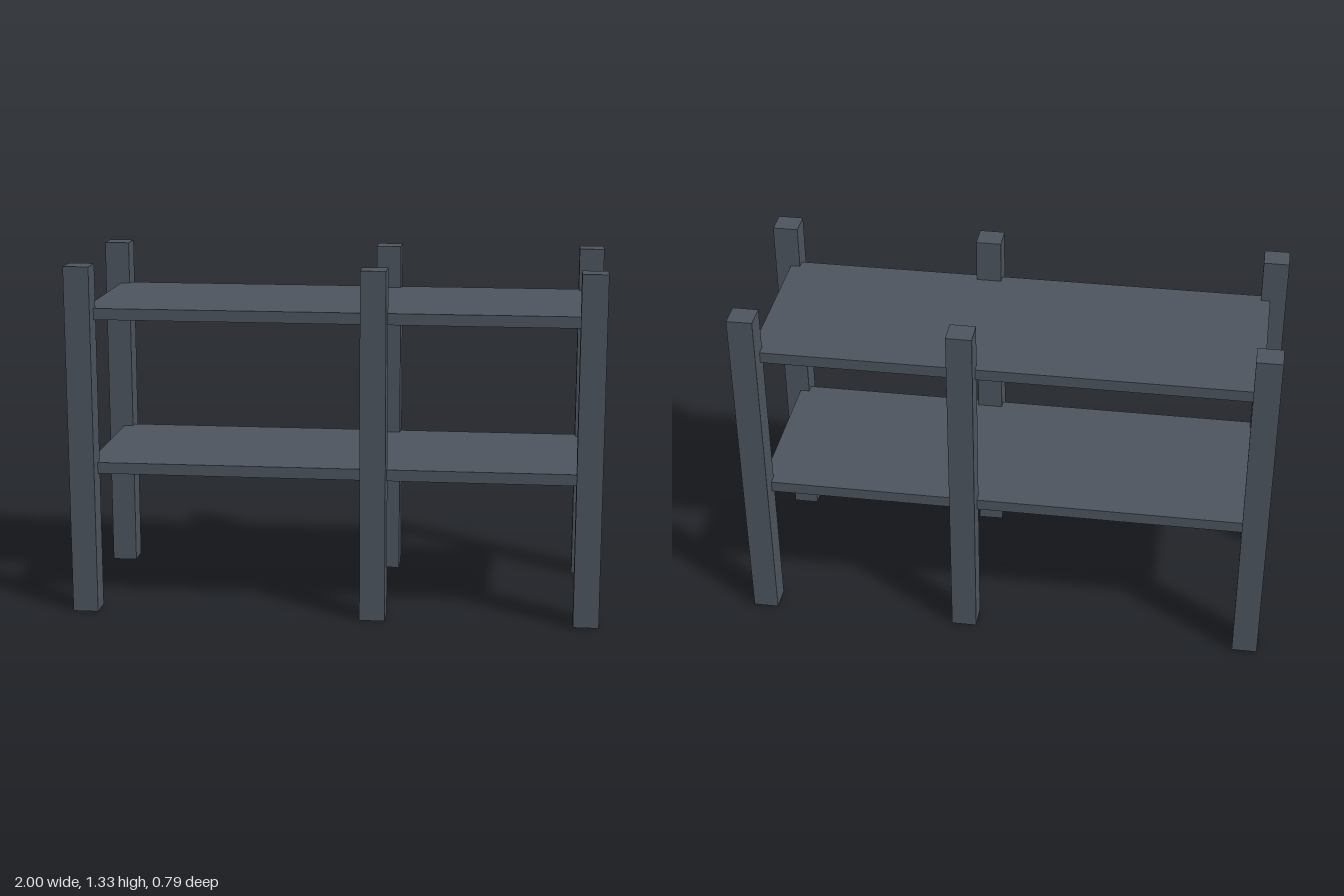
import * as THREE from 'three';

export function createModel() {
  const group = new THREE.Group();
  const slate = new THREE.MeshStandardMaterial({ color: 0x4d555f });
  slate.name = 'slateGrey';

  const addBox = (name, size, position) => {
    const mesh = new THREE.Mesh(new THREE.BoxGeometry(...size), slate);
    mesh.name = name;
    mesh.position.set(...position);
    group.add(mesh);
  };

  // Six square posts, in front and back rows
  const postHeight = 1.33, postWidth = 0.096;
  const columns = { right: -0.952, middle: 0.15, left: 0.952 };
  for (const [row, z] of [['front', 0.348], ['back', -0.348]]) {
    for (const [column, x] of Object.entries(columns)) {
      addBox(`${row} ${column} post`, [postWidth, postHeight, postWidth], [x, postHeight / 2, z]);
    }
  }

  // Two flat shelves let into the posts
  for (const [name, y] of [['lower shelf', 0.552], ['upper shelf', 1.144]]) {
    addBox(name, [1.88, 0.043, 0.67], [0, y, 0]);
  }

  return group;
}
